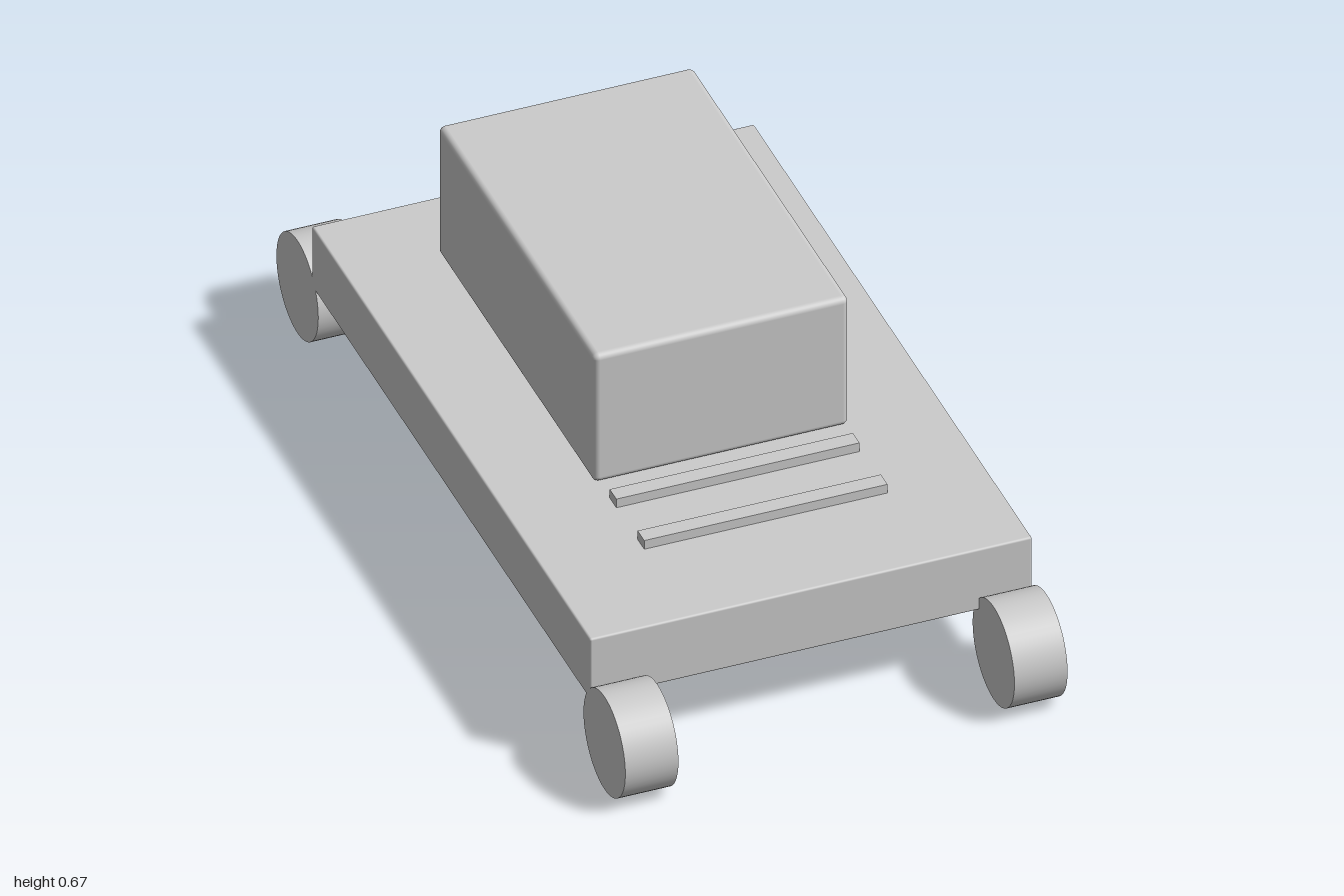
import * as THREE from 'three';
import { RoundedBoxGeometry } from 'three/addons/geometries/RoundedBoxGeometry.js';

export function createModel() {
  const model = new THREE.Group();
  model.name = 'wheeledCart';
  const grey = new THREE.MeshStandardMaterial({ color: 0xcccccc });
  grey.name = 'lightGrey';

  function add(name, geometry, x, y, z) {
    const mesh = new THREE.Mesh(geometry, grey);
    mesh.name = name;
    mesh.position.set(x, y, z);
    model.add(mesh);
    return mesh;
  }

  // Flat deck with finely softened edges
  add('deck', new RoundedBoxGeometry(1, 0.157, 1.595, 2, 0.005), 0, 0.2545, 0);

  // Rounded cabin set towards the back
  add('cabin', new RoundedBoxGeometry(0.577, 0.331, 0.895, 3, 0.014), 0, 0.5005, -0.163);

  // Two raised bars across the deck in front of the cabin
  for (const [name, z] of [['rearBar', 0.359], ['frontBar', 0.519]]) {
    add(name, new THREE.BoxGeometry(0.55, 0.027, 0.038), 0, 0.342, z);
  }

  // Four wheels, flush with the sides of the deck
  const wheel = new THREE.CylinderGeometry(0.12, 0.12, 0.12, 48);
  wheel.rotateZ(Math.PI / 2);
  for (const [side, x] of [['Left', 0.44], ['Right', -0.44]]) {
    add('front' + side + 'Wheel', wheel, x, 0.12, 0.88);
    add('back' + side + 'Wheel', wheel, x, 0.12, -0.88);
  }

  return model;
}
